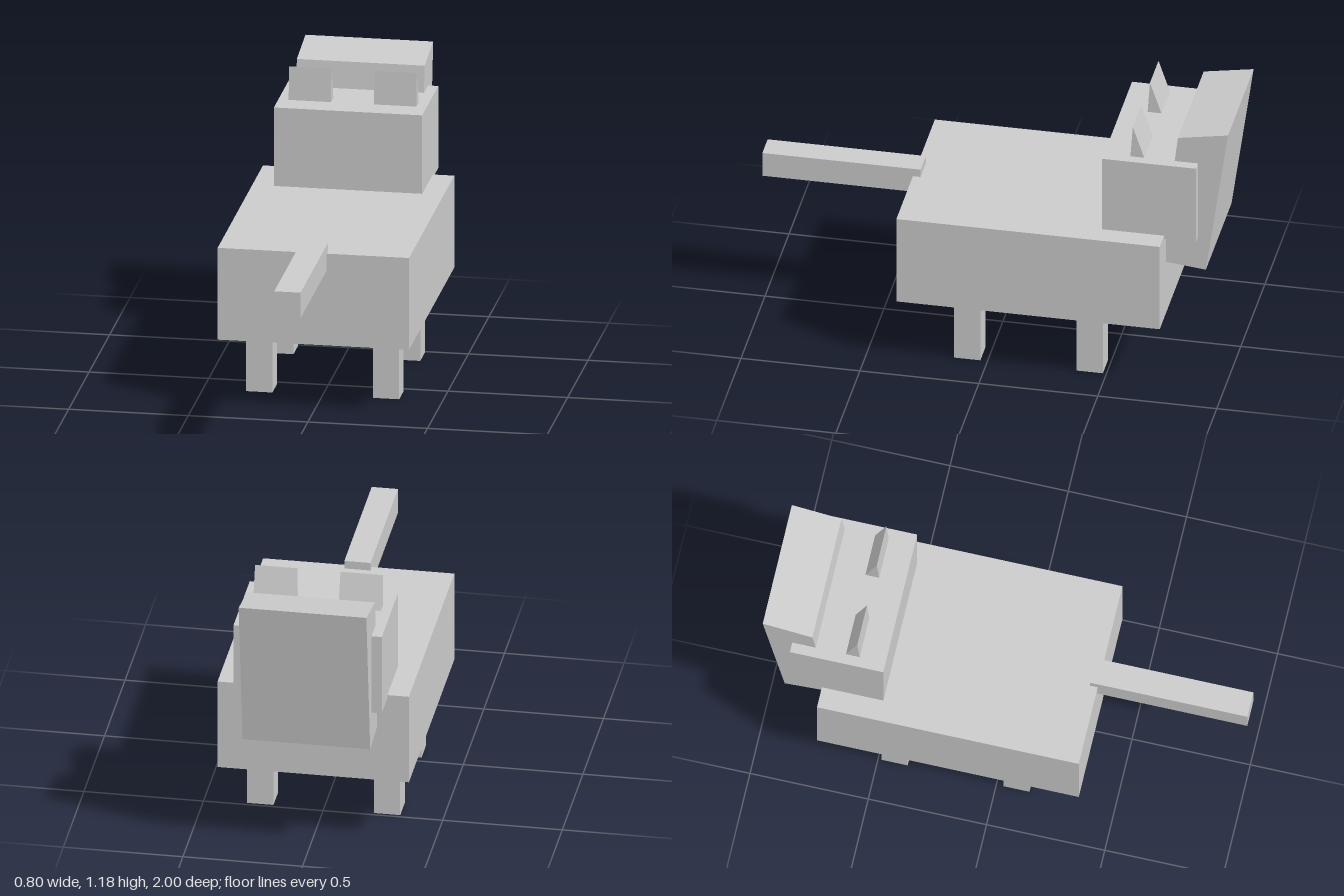
import * as THREE from 'three';

const material = new THREE.MeshStandardMaterial({ color: 0xcccccc, flatShading: true });

// Box given by its [min, max] range on each axis
function box(name, [x0, x1], [y0, y1], [z0, z1]) {
  const mesh = new THREE.Mesh(new THREE.BoxGeometry(x1 - x0, y1 - y0, z1 - z0), material);
  mesh.position.set((x0 + x1) / 2, (y0 + y1) / 2, (z0 + z1) / 2);
  mesh.name = name;
  return mesh;
}

// Side outline of [z, y] points, extruded across x and centred on centreX
function sideProfile(name, points, width, centreX = 0) {
  const shape = new THREE.Shape(points.map(([z, y]) => new THREE.Vector2(z, y)));
  const geometry = new THREE.ExtrudeGeometry(shape, { depth: width, bevelEnabled: false });
  geometry.translate(0, 0, -width / 2).rotateY(-Math.PI / 2);
  const mesh = new THREE.Mesh(geometry, material);
  mesh.position.x = centreX;
  mesh.name = name;
  return mesh;
}

export function createModel() {
  const model = new THREE.Group();
  model.name = 'blockAnimal';

  model.add(
    box('body', [-0.4, 0.4], [0.292, 0.69], [-0.74, 0.367]),
    box('head', [-0.31, 0.31], [0.675, 1.03], [-0.875, -0.48]),
    box('tail', [-0.055, 0.055], [0.615, 0.725], [0.335, 1])
  );

  // Tilted slab on the outer end of the head
  model.add(sideProfile('muzzle', [[-1, 1.18], [-0.907, 0.52], [-0.715, 0.541], [-0.79, 1.143]], 0.534));

  // Legs and wedge-shaped ears, mirrored left and right
  for (const [side, s] of [['left', 1], ['right', -1]]) {
    const legX = [s * 0.265 - 0.055, s * 0.265 + 0.055];
    model.add(
      box(side + 'TailEndLeg', legX, [0, 0.292], [0.03, 0.14]),
      box(side + 'HeadEndLeg', legX, [0, 0.292], [-0.485, -0.375]),
      sideProfile(side + 'Ear', [[-0.59, 1.03], [-0.6, 1.172], [-0.648, 1.03]], 0.177, s * 0.1785)
    );
  }
  return model;
}
